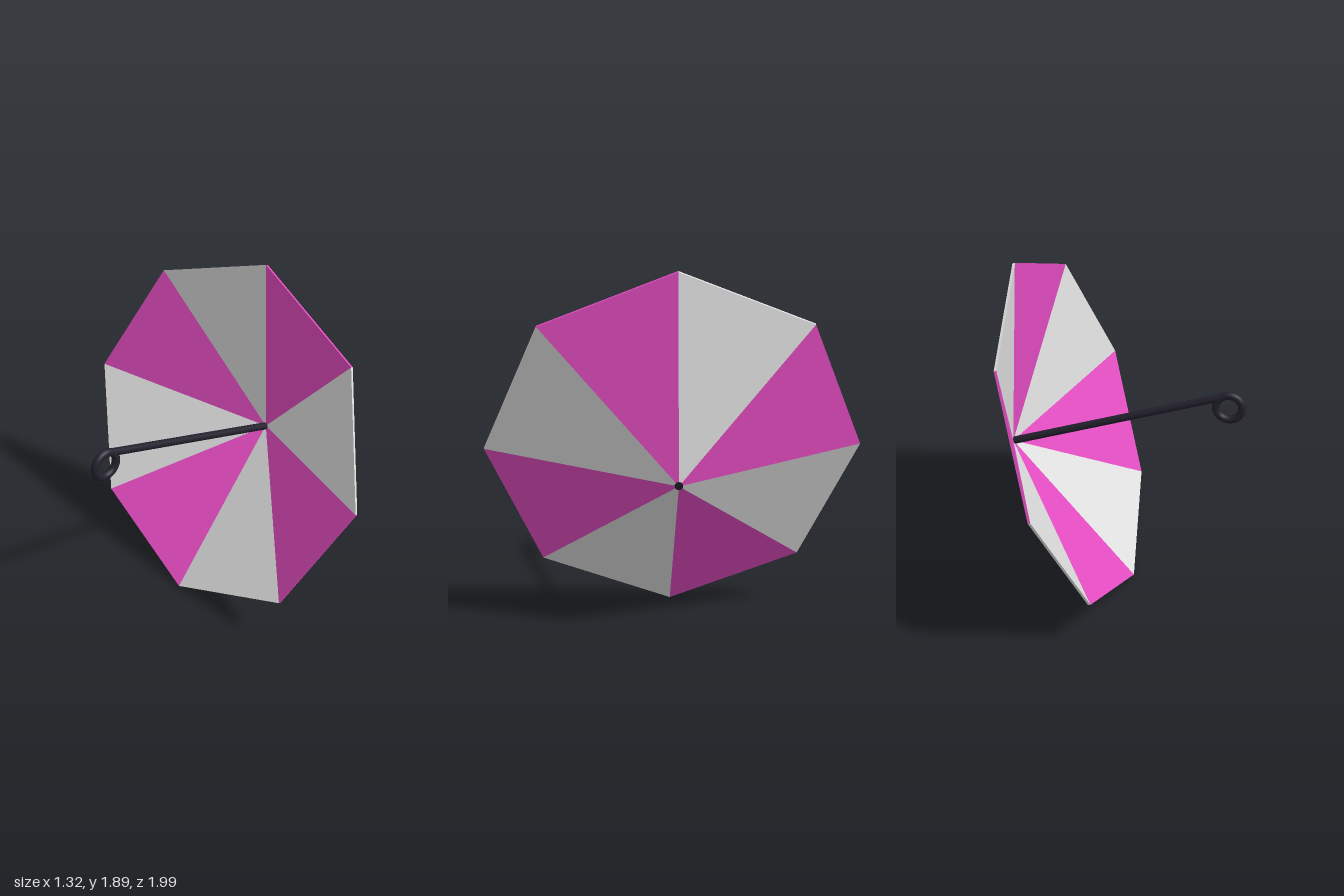
import * as THREE from 'three';

const mat = (name, color) => {
  const m = new THREE.MeshStandardMaterial({ color });
  m.name = name;
  return m;
};

// One canopy panel: outer face, inner face and the thin rim edge
function panelGeometry(a0, a1, radius, height, thick) {
  const rim = (a, y) => [-radius * Math.cos(a), y, radius * Math.sin(a)];
  const h = thick / 2;
  const top = [0, height + h, 0], under = [0, height - h, 0];
  const p0 = rim(a0, h), p1 = rim(a1, h), q0 = rim(a0, -h), q1 = rim(a1, -h);
  const corners = [top, p0, p1, under, q1, q0, p0, q0, p1, p1, q0, q1];
  const geo = new THREE.BufferGeometry();
  geo.setAttribute('position', new THREE.Float32BufferAttribute(corners.flat(), 3));
  geo.computeVertexNormals();
  return geo;
}

export function createModel() {
  const pink = mat('pink fabric', 0xe44cc2);
  const pale = mat('pale grey fabric', 0xdedede);
  const dark = mat('dark metal', 0x22202c);

  // Built upright (local y along the shaft), then tipped onto its rim
  const umbrella = new THREE.Group();
  umbrella.name = 'umbrella';
  umbrella.position.set(0.27, 0.947, 0);
  umbrella.rotation.z = -THREE.MathUtils.degToRad(108.75);

  const add = (name, geo, material, x = 0, y = 0) => {
    const mesh = new THREE.Mesh(geo, material);
    mesh.name = name;
    mesh.position.set(x, y, 0);
    umbrella.add(mesh);
  };

  // Canopy of eight alternating panels
  const step = Math.PI / 4;
  for (let i = 0; i < 8; i++) {
    add('canopyPanel' + (i + 1), panelGeometry(i * step, (i + 1) * step, 0.997, 0.394, 0.014), i % 2 ? pale : pink);
  }

  // Shaft from the handle ring through the apex
  const low = -0.865, high = 0.402;
  add('shaft', new THREE.CylinderGeometry(0.021, 0.021, high - low, 20), dark, 0, (high + low) / 2);

  // Ring handle, tangent to the shaft
  add('handleRing', new THREE.TorusGeometry(0.071, 0.022, 16, 40), dark, 0.068, low);

  const model = new THREE.Group();
  model.name = 'openUmbrella';
  model.add(umbrella);
  return model;
}
